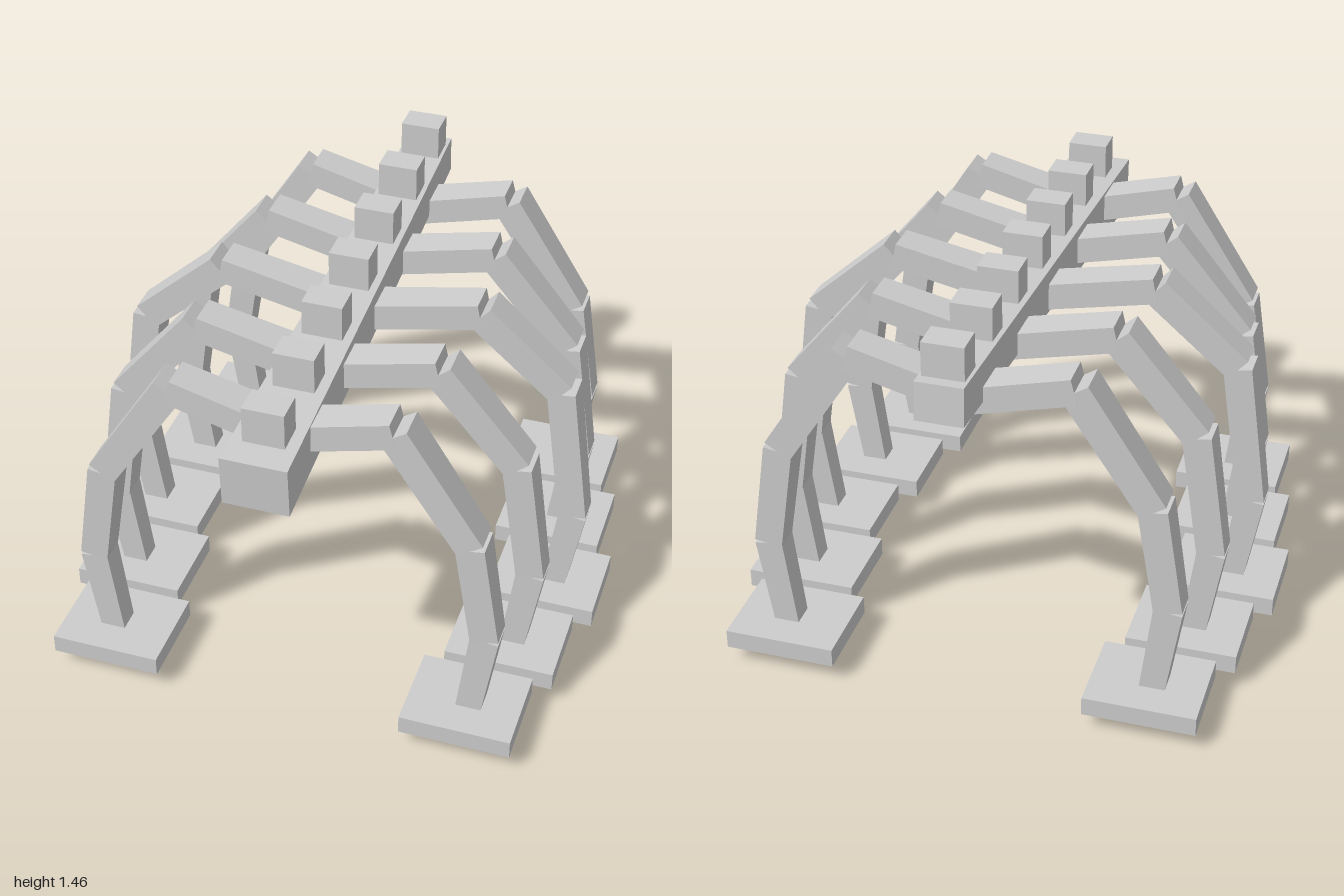
import * as THREE from 'three';

const bone = new THREE.MeshStandardMaterial({ color: 0xcccccc });
bone.name = 'bone grey';

// Box along y whose cross-section changes from [x, z] at the bottom to [x, z] at the top
function taperedBox(length, bottom, top) {
  const geometry = new THREE.BoxGeometry(1, length, 1);
  const p = geometry.attributes.position;
  for (let i = 0; i < p.count; i++) {
    const [w, d] = p.getY(i) > 0 ? top : bottom;
    p.setX(i, p.getX(i) * w);
    p.setZ(i, p.getZ(i) * d);
  }
  geometry.computeVertexNormals();
  return geometry;
}

function add(parent, name, geometry, x, y, z) {
  const mesh = new THREE.Mesh(geometry, bone);
  mesh.name = name;
  mesh.position.set(x, y, z);
  parent.add(mesh);
  return mesh;
}

// Cross-sections [thickness, depth] at the start and end of each rib segment
const sections = [
  [[0.095, 0.13], [0.095, 0.12]],
  [[0.108, 0.12], [0.104, 0.108]],
  [[0.102, 0.108], [0.1, 0.095]],
  [[0.1, 0.092], [0.086, 0.082]],
];
const segmentNames = ['ribRoot', 'ribUpper', 'ribMiddle', 'ribLower'];

// One rib of four straight segments; bulge runs from 0 (end ribs) to 1 (middle rib)
function makeRib(side, bulge) {
  const rib = new THREE.Group();
  rib.name = side > 0 ? 'leftRib' : 'rightRib';
  const joints = [
    [0.03, 1.18],
    [0.385 + 0.09 * bulge, 1.27],
    [0.65 + 0.125 * bulge, 0.86 + 0.145 * bulge],
    [0.712 + 0.136 * bulge, 0.465],
    [0.65 + 0.125 * bulge, 0.007],
  ];
  sections.forEach(([start, end], i) => {
    const [x0, y0] = joints[i], [x1, y1] = joints[i + 1];
    const dx = (x1 - x0) * side, dy = y1 - y0;
    const segment = add(rib, segmentNames[i], taperedBox(Math.hypot(dx, dy), start, end),
      side * (x0 + x1) / 2, (y0 + y1) / 2, 0);
    segment.rotation.z = Math.atan2(-dx, dy);
  });
  // Flat foot plate around the rib tip
  add(rib, 'footPlate', new THREE.BoxGeometry(0.397, 0.07, 0.323),
    side * (0.65 + 0.125 * bulge), 0.1, 0);
  return rib;
}

export function createModel() {
  const model = new THREE.Group();
  model.name = 'ribCage';

  // Spine: tapering beam that rises toward the back
  const front = new THREE.Vector3(0, 1.15, 0.993), back = new THREE.Vector3(0, 1.2725, -0.993);
  const spine = add(model, 'spine',
    taperedBox(front.distanceTo(back), [0.165, 0.138], [0.23, 0.19]), 0, 1.211, 0);
  spine.rotation.x = Math.atan2(front.z - back.z, front.y - back.y);

  // Vertebra blocks along the top of the spine
  for (let i = 0; i < 7; i++) {
    add(model, 'vertebra', new THREE.BoxGeometry(0.144, 0.16, 0.106),
      0, 1.30 + 0.0133 * i, 0.847 - 0.29 * i);
  }

  // Five pairs of ribs, widest in the middle
  for (let i = -2; i <= 2; i++) {
    for (const side of [-1, 1]) {
      const rib = makeRib(side, 1 - Math.abs(i) / 2);
      rib.position.z = -0.02 - 0.362 * i;
      model.add(rib);
    }
  }
  return model;
}
